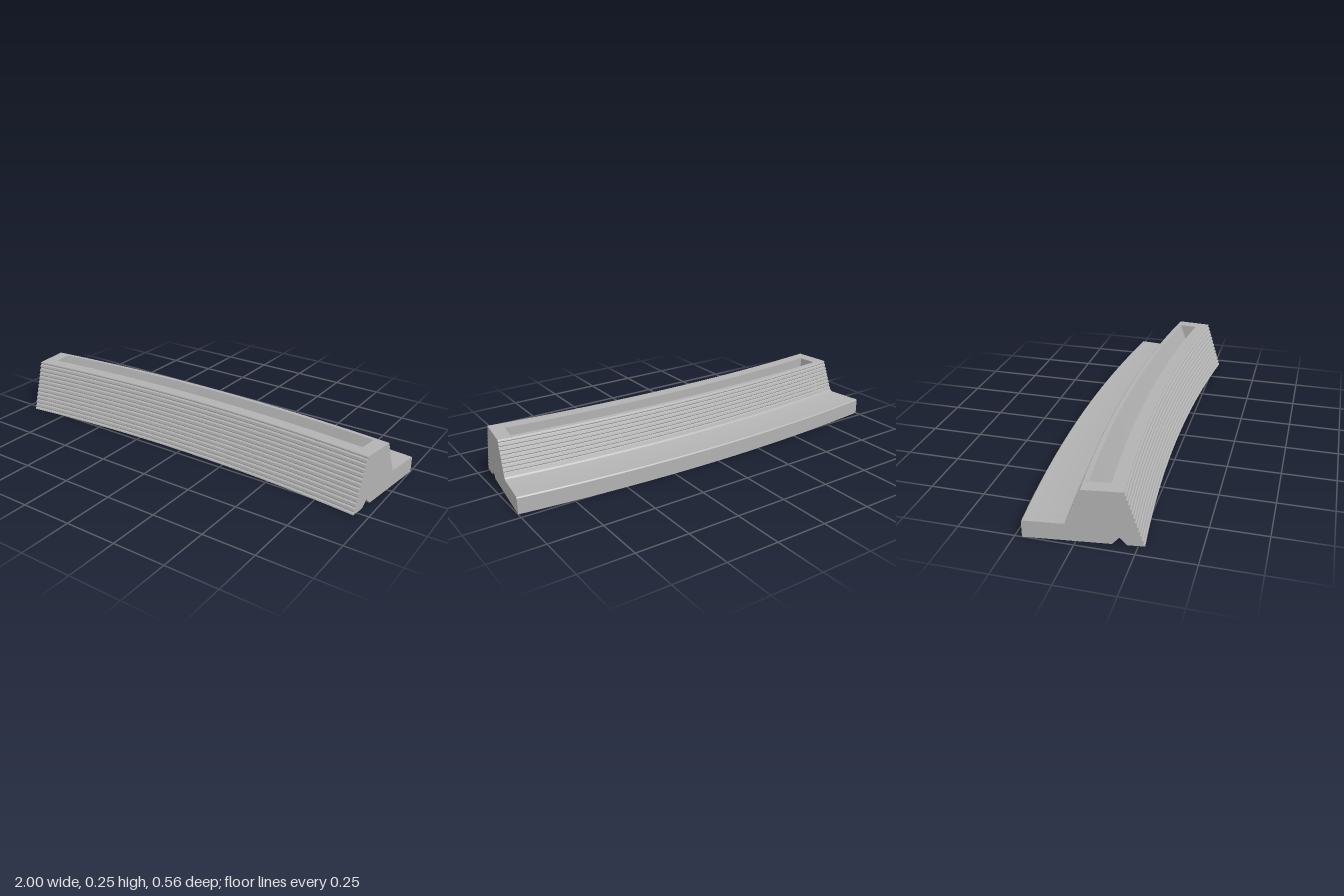
import * as THREE from 'three';
import { toCreasedNormals } from 'three/addons/utils/BufferGeometryUtils.js';

const RADIUS_CENTRE = 8.02; // z of the arc's centre
const END = 0.1208; // half angle of the whole piece
const SLOT_END = 0.1128; // half angle of the slot

// Sloping face from p to q with n shallow V grooves cut towards z direction `dir`
function groovedFace(p, q, n, dir, depth = 0.006) {
  const points = [p];
  for (let i = 0; i < n; i++) {
    for (const [f, d] of [[0.25, 0], [0.5, depth], [0.75, 0]]) {
      const t = (i + f) / n;
      points.push([p[0] + (q[0] - p[0]) * t + dir * d, p[1] + (q[1] - p[1]) * t]);
    }
  }
  points.push(q);
  return points;
}

// Cross-section as [z, y], with or without the slot in the top
function crossSection(withSlot) {
  const slot = [[0.08, 0.245], [0.08, 0.06], [0.058, 0.06], [-0.012, 0.244]];
  const points = [
    ...groovedFace([0.22, 0], [0.14, 0.245], 12, -1),
    ...(withSlot ? slot : []),
    [-0.034, 0.243],
    ...groovedFace([-0.038, 0.239], [-0.09, 0.098], 8, 1),
    // fillet into the ledge
    [-0.094, 0.088], [-0.1, 0.082], [-0.11, 0.079],
    // ledge
    [-0.274, 0.079], [-0.279, 0.074], [-0.279, 0],
    // V notch along the underside
    [0.087, 0], [0.117, 0.033], [0.147, 0],
  ];
  return new THREE.Shape(points.map(([z, y]) => new THREE.Vector2(z, y)));
}

// Sweep the cross-section around the arc between two angles
function arcSweep(shape, from, to, steps) {
  const geometry = new THREE.ExtrudeGeometry(shape, { depth: to - from, steps, bevelEnabled: false });
  const pos = geometry.attributes.position;
  for (let i = 0; i < pos.count; i++) {
    const r = RADIUS_CENTRE - pos.getX(i);
    const a = -(from + pos.getZ(i));
    pos.setXYZ(i, r * Math.sin(a), pos.getY(i), RADIUS_CENTRE - r * Math.cos(a));
  }
  return toCreasedNormals(geometry, 0.3);
}

export function createModel() {
  const group = new THREE.Group();
  group.name = 'curvedBarrier';
  const grey = new THREE.MeshStandardMaterial({ color: 0xb2b2b2 });
  grey.name = 'plain grey';

  const add = (name, shape, from, to, steps) => {
    const mesh = new THREE.Mesh(arcSweep(shape, from, to, steps), grey);
    mesh.name = name;
    group.add(mesh);
  };
  add('slottedBody', crossSection(true), -SLOT_END, SLOT_END, 40);
  add('leftEndBlock', crossSection(false), -END, -SLOT_END, 2);
  add('rightEndBlock', crossSection(false), SLOT_END, END, 2);
  return group;
}
